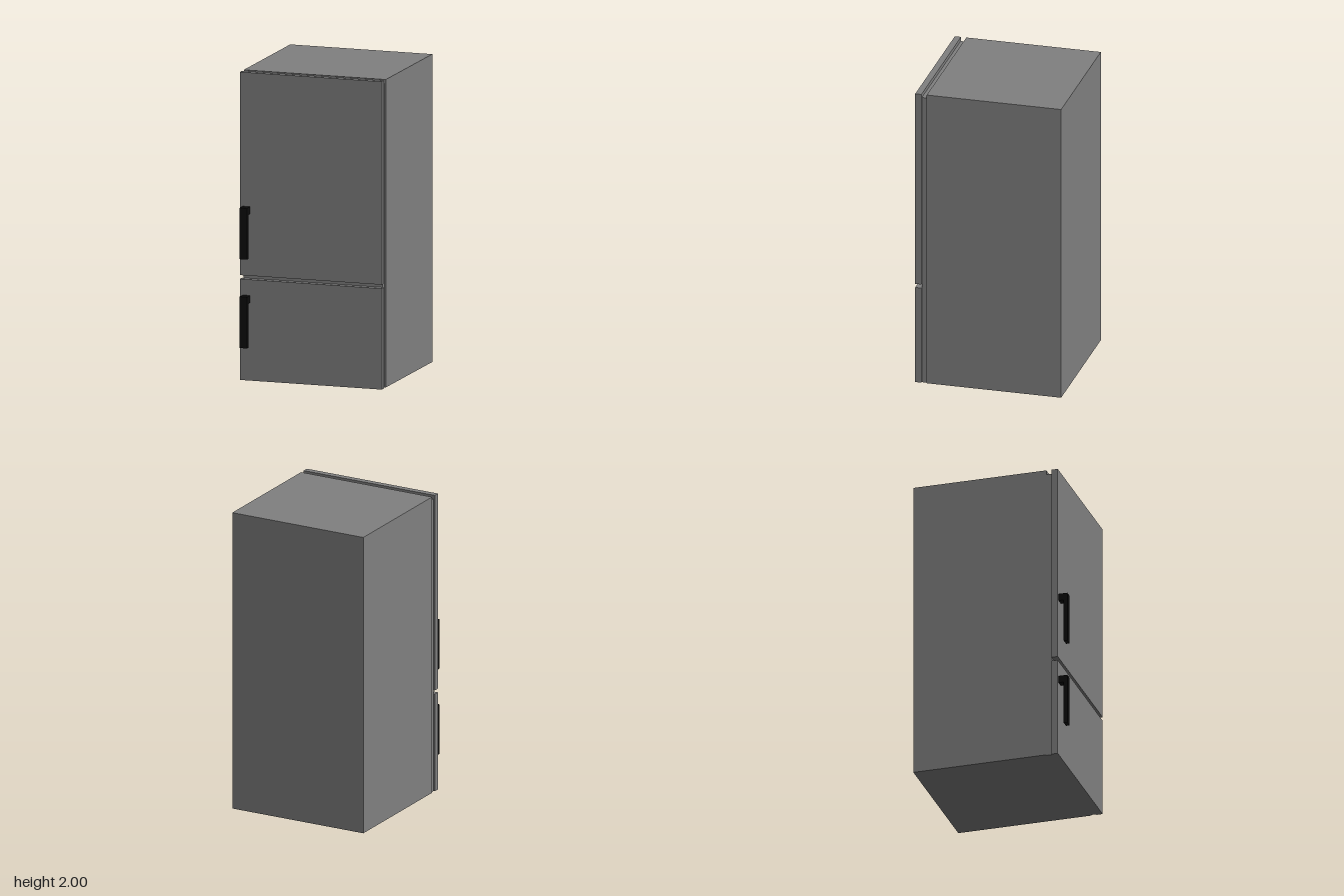
import * as THREE from 'three';

export function createModel() {
  const model = new THREE.Group();
  model.name = 'refrigerator';
  const grey = new THREE.MeshStandardMaterial({ color: 0x808080 });
  grey.name = 'grey enamel';
  const black = new THREE.MeshStandardMaterial({ color: 0x0c0c0c });
  black.name = 'black plastic';

  // Box given by its lower and upper corners
  function box(name, [x0, y0, z0], [x1, y1, z1]) {
    const mesh = new THREE.Mesh(new THREE.BoxGeometry(x1 - x0, y1 - y0, z1 - z0), grey);
    mesh.position.set((x0 + x1) / 2, (y0 + y1) / 2, (z0 + z1) / 2);
    mesh.name = name;
    model.add(mesh);
  }

  // Hook handle: side profile in (z, y), extruded across x
  function handle(name, bottom) {
    const top = bottom + 0.334;
    const profile = [[0.45, top], [0.45, top - 0.047], [0.487, top - 0.047],
      [0.487, bottom], [0.511, bottom], [0.511, top]];
    const shape = new THREE.Shape(profile.map(([z, y]) => new THREE.Vector2(z, y)));
    const geometry = new THREE.ExtrudeGeometry(shape, { depth: 0.05, bevelEnabled: false });
    geometry.rotateY(-Math.PI / 2);
    const mesh = new THREE.Mesh(geometry, black);
    mesh.position.x = -0.41;
    mesh.name = name;
    model.add(mesh);
  }

  // Cabinet and the recessed seal between it and the doors
  box('cabinet', [-0.48, 0, -0.511], [0.48, 2, 0.377]);
  box('doorSeal', [-0.471, 0, 0.377], [0.471, 1.975, 0.412]);

  // Doors
  box('freezerDoor', [-0.48, 0, 0.412], [0.48, 0.656, 0.453]);
  box('fridgeDoor', [-0.48, 0.681, 0.412], [0.48, 2, 0.453]);

  // Handles
  handle('freezerHandle', 0.219);
  handle('fridgeHandle', 0.796);

  return model;
}
